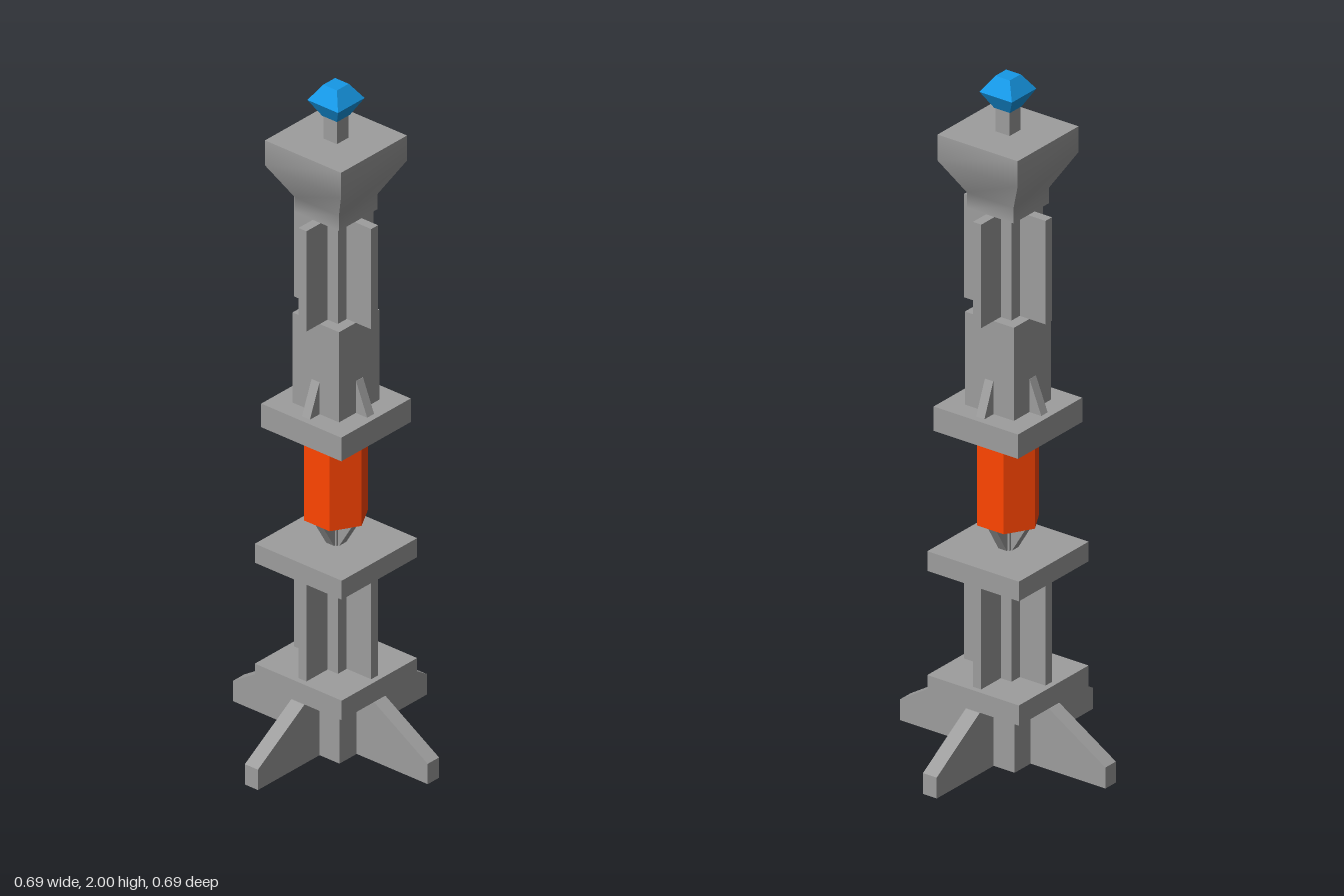
import * as THREE from 'three';

const grey = new THREE.MeshStandardMaterial({ color: 0x9d9d9d, flatShading: true });
const openGrey = new THREE.MeshStandardMaterial({ color: 0x9d9d9d, flatShading: true, side: THREE.DoubleSide });
const smoothGrey = new THREE.MeshStandardMaterial({ color: 0x9d9d9d });
const orange = new THREE.MeshStandardMaterial({ color: 0xff4500, flatShading: true });
const blue = new THREE.MeshStandardMaterial({ color: 0x1698e6, flatShading: true });

// Drop the triangles that lie on the ground, leaving a hollow underside
function openBottom(geometry) {
  const source = geometry.index ? geometry.toNonIndexed() : geometry;
  const p = source.attributes.position;
  const kept = [];
  for (let i = 0; i < p.count; i += 3) {
    const corners = [i, i + 1, i + 2];
    if (corners.every((k) => p.getY(k) < 0.001)) continue;
    corners.forEach((k) => kept.push(p.getX(k), p.getY(k), p.getZ(k)));
  }
  const result = new THREE.BufferGeometry();
  result.setAttribute('position', new THREE.Float32BufferAttribute(kept, 3));
  result.computeVertexNormals();
  return result;
}

// Square block given its half width and its bottom and top heights
function blockGeometry(half, y0, y1) {
  return new THREE.BoxGeometry(half * 2, y1 - y0, half * 2).translate(0, (y0 + y1) / 2, 0);
}

// Upright fin from an outline of [radius, height]
function finGeometry(outline, thickness) {
  const shape = new THREE.Shape(outline.map(([r, y]) => new THREE.Vector2(r, y)));
  return new THREE.ExtrudeGeometry(shape, { depth: thickness, bevelEnabled: false })
    .translate(0, 0, -thickness / 2);
}

const ribOutline = (y0, y1) => [[0.03, y0], [0.136, y0], [0.136, y1], [0.03, y1]];

// One side of a square solid from [half width, height] pairs, top to bottom,
// with normals smoothed up and down the profile
function panelGeometry(profile) {
  const geometry = new THREE.PlaneGeometry(2, 1, 1, profile.length - 1);
  const p = geometry.attributes.position;
  for (let i = 0; i < p.count; i++) {
    const [half, y] = profile[Math.floor(i / 2)];
    p.setXYZ(i, p.getX(i) * half, y, half);
  }
  geometry.computeVertexNormals();
  return geometry;
}

export function createModel() {
  const model = new THREE.Group();

  function add(name, geometry, material = grey, parent = model) {
    const mesh = new THREE.Mesh(geometry, material);
    mesh.name = name;
    parent.add(mesh);
    return mesh;
  }

  const block = (name, half, y0, y1) => add(name, blockGeometry(half, y0, y1));

  // Four copies of a part around the axis
  function fourfold(name, geometry, material) {
    const group = new THREE.Group();
    group.name = name + 's';
    for (let i = 0; i < 4; i++) add(name, geometry, material, group).rotation.y = (i * Math.PI) / 2;
    model.add(group);
  }

  // Hollow foot with four sloping legs
  const leg = [[0.093, 0], [0.343, 0], [0.343, 0.062], [0.155, 0.18], [0.093, 0.18]];
  add('baseCore', openBottom(blockGeometry(0.093, 0, 0.18)), openGrey);
  fourfold('baseLeg', openBottom(finGeometry(leg, 0.046)), openGrey);
  block('basePlate', 0.153, 0.18, 0.24);

  // Lower ribbed column
  block('lowerColumnCore', 0.05, 0.24, 0.548);
  fourfold('lowerColumnRib', finGeometry(ribOutline(0.24, 0.548), 0.028));
  block('lowerColumnCap', 0.153, 0.548, 0.606);

  // Narrow neck and hexagonal cell
  block('neckCore', 0.02, 0.606, 0.69);
  fourfold('neckFin', finGeometry([[0, 0.606], [0.024, 0.606], [0.072, 0.686], [0, 0.686]], 0.028));
  add('hexagonalCell', new THREE.CylinderGeometry(0.09, 0.09, 0.276, 6)
    .rotateY(Math.PI / 2).translate(0, 0.823, 0), orange);

  // Collar, middle shaft and its gussets
  block('collar', 0.141, 0.961, 1.033);
  block('middleShaft', 0.082, 1.033, 1.308);
  fourfold('shaftGusset', finGeometry([[0.07, 1.033], [0.122, 1.033], [0.083, 1.13], [0.07, 1.13]], 0.028));

  // Upper ribbed column
  block('upperColumnCore', 0.05, 1.308, 1.614);
  fourfold('upperColumnRib', finGeometry(ribOutline(1.308, 1.614), 0.028));

  // Flared head with its top and underside
  fourfold('headSide', panelGeometry([[0.134, 1.836], [0.134, 1.76], [0.078, 1.66], [0.078, 1.614]]), smoothGrey);
  add('headTop', new THREE.PlaneGeometry(0.268, 0.268).rotateX(-Math.PI / 2).translate(0, 1.836, 0));
  add('headUnderside', new THREE.PlaneGeometry(0.156, 0.156).rotateX(Math.PI / 2).translate(0, 1.614, 0));

  // Post and faceted finial
  block('finialPost', 0.024, 1.836, 1.91);
  const finialProfile = [[0, 1.905], [0.026, 1.905], [0.054, 1.955], [0.024, 2], [0, 2]]
    .map(([half, y]) => new THREE.Vector2(half * Math.SQRT2, y));
  add('finial', new THREE.LatheGeometry(finialProfile, 4).rotateY(Math.PI / 4), blue);

  return model;
}
